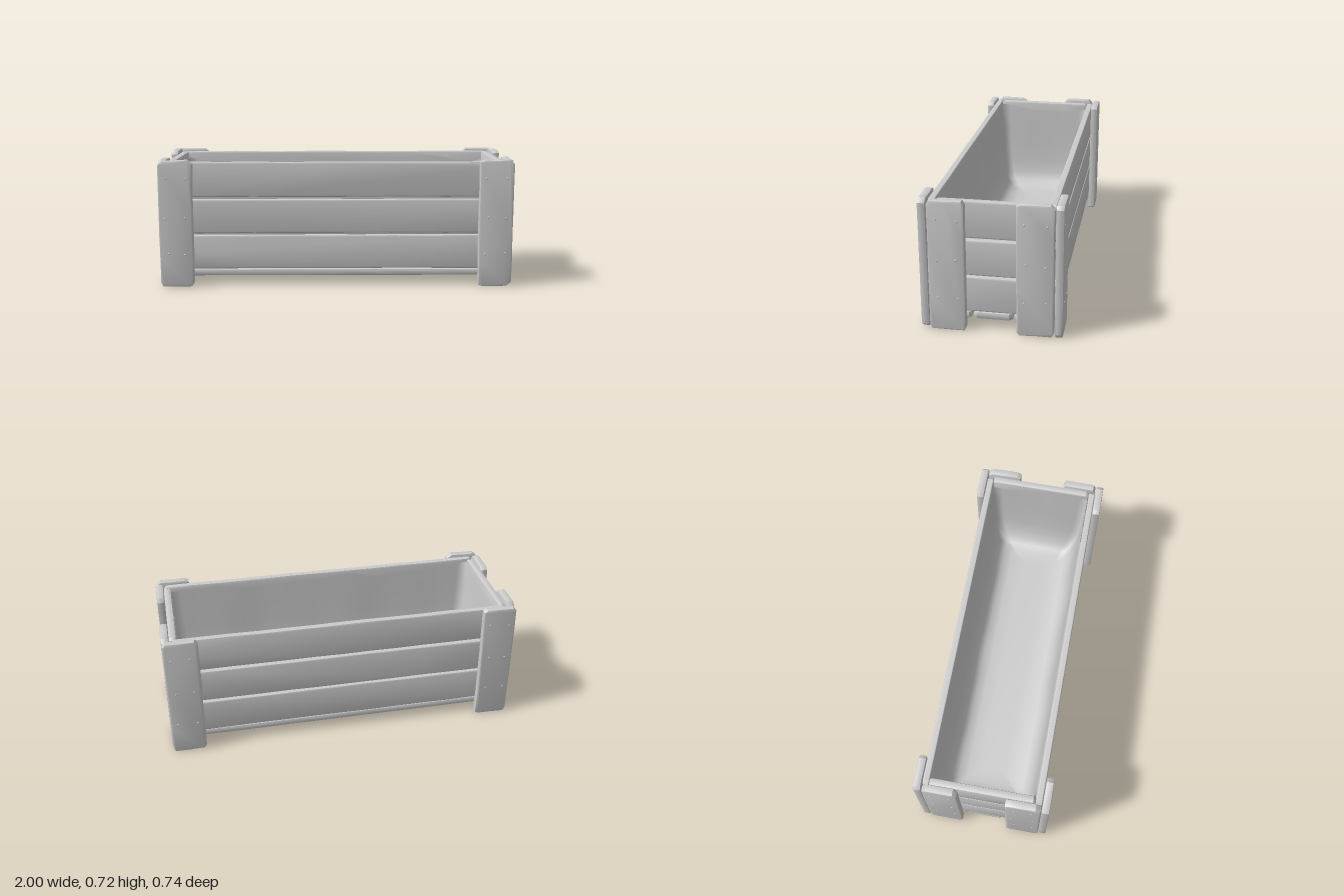
import * as THREE from 'three';
import { toCreasedNormals } from 'three/addons/utils/BufferGeometryUtils.js';

const wood = new THREE.MeshStandardMaterial({ color: 0xcccccc });
const cloth = new THREE.MeshStandardMaterial({ color: 0xcccccc, side: THREE.DoubleSide });

// seeded random in -1..1
function makeRandom(seed) {
  let s = seed;
  return () => {
    s = (s * 16807) % 2147483647;
    return (s / 2147483647) * 2 - 1;
  };
}

// Worn plank: wavy outline with clipped corners, bevelled and centred on the origin, facing +z
function plankGeometry(w, h, d, seed, wear) {
  const rnd = makeRandom(seed * 7919 + 13);
  const a = w / 2, b = h / 2;
  const corners = [[-a, -b], [a, -b], [a, b], [-a, b]];
  const pts = [];
  corners.forEach(([x0, y0], i) => {
    const [x1, y1] = corners[(i + 1) % 4];
    const len = Math.hypot(x1 - x0, y1 - y0);
    const ux = (x1 - x0) / len, uy = (y1 - y0) / len;
    const cut = Math.min(0.012 + wear * (1 + rnd()), len * 0.2);
    const n = Math.max(2, Math.round(len / 0.16));
    for (let k = 0; k <= n; k++) {
      const t = cut + ((len - 2 * cut) * k) / n;
      const dent = wear * 0.5 * (1 + rnd()) * 0.5;
      pts.push(new THREE.Vector2(x0 + ux * t - uy * dent, y0 + uy * t + ux * dent));
    }
  });
  const bevel = Math.min(0.008, d * 0.3);
  const geo = new THREE.ExtrudeGeometry(new THREE.Shape(pts), {
    depth: d - 2 * bevel, bevelEnabled: true, bevelThickness: bevel,
    bevelSize: bevel, bevelOffset: -bevel, bevelSegments: 2,
  });
  geo.translate(0, 0, bevel - d / 2);
  return toCreasedNormals(geo, 0.5);
}

let seed = 1;
function addPlank(parent, name, size, pos, rot = [0, 0, 0], wear = 0.006) {
  const mesh = new THREE.Mesh(plankGeometry(...size, seed++, wear), wood);
  mesh.name = name;
  mesh.position.set(...pos);
  mesh.rotation.set(...rot);
  parent.add(mesh);
  return mesh;
}

// Soft sack lining: rectangular rings that drop down the walls and curve into the floor
function makeLining() {
  const levels = [[0, 0.665], [0.004, 0.55], [0.008, 0.42], [0.016, 0.3], [0.03, 0.22],
    [0.055, 0.165], [0.09, 0.135], [0.14, 0.122], [0.21, 0.12], [0.283, 0.12]];
  const a = 0.907, b = 0.284, nx = 36, nz = 12;
  const verts = [], index = [];
  const ring = [];
  for (let i = 0; i < nx; i++) ring.push([-1 + (2 * i) / nx, 1]);
  for (let i = 0; i < nz; i++) ring.push([1, 1 - (2 * i) / nz]);
  for (let i = 0; i < nx; i++) ring.push([1 - (2 * i) / nx, -1]);
  for (let i = 0; i < nz; i++) ring.push([-1, -1 + (2 * i) / nz]);
  const n = ring.length;
  levels.forEach(([inset, y], l) => {
    const fold = Math.sin((Math.min(l, 7) / 7) * Math.PI);
    ring.forEach(([u, v]) => {
      const wave = Math.sin(u * 7 + v * 2) + 0.6 * Math.sin(u * 15 - v * 3 + 1);
      const s = inset + fold * 0.006 * (1 + wave * 0.6);
      const lift = l === 0 ? 0.014 * wave : 0;
      verts.push(u * Math.max(a - s, 0), y + lift, v * Math.max(b - s, 0));
    });
    if (l === 0) return;
    for (let i = 0; i < n; i++) {
      const p = (l - 1) * n + i, q = (l - 1) * n + ((i + 1) % n);
      index.push(p, q, p + n, q, q + n, p + n);
    }
  });
  const geo = new THREE.BufferGeometry();
  geo.setAttribute('position', new THREE.Float32BufferAttribute(verts, 3));
  geo.setIndex(index);
  geo.computeVertexNormals();
  const mesh = new THREE.Mesh(geo, cloth);
  mesh.name = 'lining';
  return mesh;
}

export function createModel() {
  const group = new THREE.Group();
  group.name = 'crate';
  seed = 1;

  // Three wall planks per side
  const rows = [[0.097, 0.292], [0.301, 0.496], [0.507, 0.706]];
  for (const [lo, hi] of rows) {
    const h = hi - lo, y = (lo + hi) / 2;
    for (const s of [1, -1]) {
      addPlank(group, s > 0 ? 'frontPlank' : 'backPlank', [1.9, h, 0.036], [0, y, s * 0.306]);
      addPlank(group, s > 0 ? 'leftPlank' : 'rightPlank', [0.576, h, 0.04],
        [s * 0.93, y, 0], [0, Math.PI / 2, 0], 0.003);
    }
  }

  // Bottom planks
  for (const z of [-0.214, 0, 0.214]) {
    addPlank(group, 'bottomPlank', [1.9, 0.207, 0.038], [0, 0.075, z], [-Math.PI / 2, 0, 0], 0.004);
  }

  // Corner posts: one board on the long side and one on the end, each with six nails
  const nailGeo = new THREE.SphereGeometry(0.006, 10, 6);
  const rnd = makeRandom(4711);
  const addNails = (post, w, d) => {
    for (const y of [0.615, 0.397, 0.189]) {
      for (const side of [-1, 1]) {
        const nail = new THREE.Mesh(nailGeo, wood);
        nail.name = 'nail';
        nail.position.set(side * w * 0.27 + rnd() * 0.01, y - 0.361 + rnd() * 0.006, d / 2);
        nail.scale.z = 0.6;
        post.add(nail);
      }
    }
  };
  for (const sx of [1, -1]) {
    for (const sz of [1, -1]) {
      const h = sz > 0 ? 0.718 : 0.724;
      const long = addPlank(group, 'longSidePost', [0.194, 0.721, 0.042],
        [sx * 0.896, 0.361, sz * 0.347], [0, sz > 0 ? 0 : Math.PI, 0], 0.009);
      addNails(long, 0.194, 0.042);
      const end = addPlank(group, 'endPost', [0.196, h, 0.043],
        [sx * 0.973, h / 2, sz * 0.226], [0, (sx * Math.PI) / 2, 0], 0.009);
      addNails(end, 0.196, 0.043);
    }
  }

  group.add(makeLining());
  return group;
}
